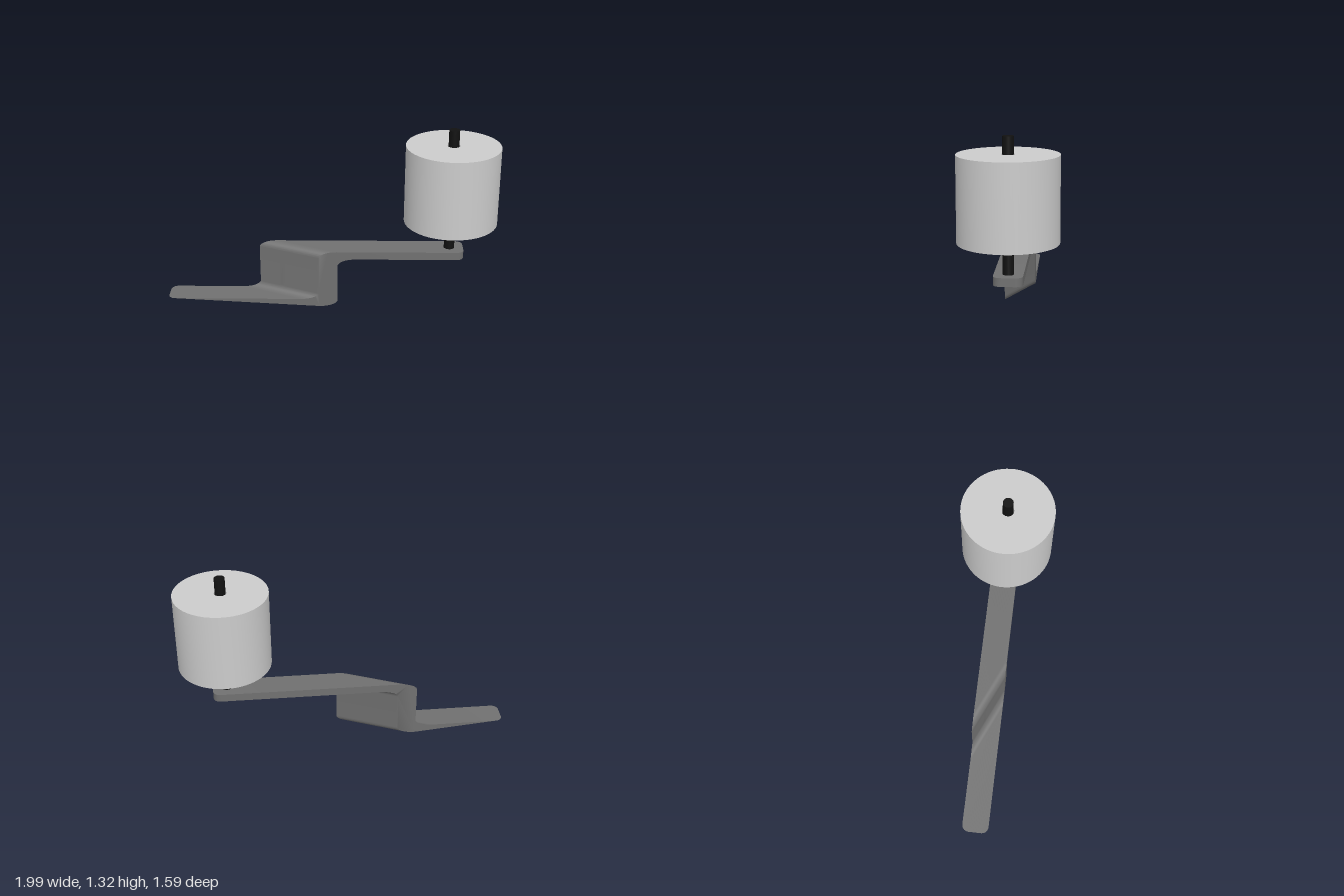
import * as THREE from 'three';
import { toCreasedNormals } from 'three/addons/utils/BufferGeometryUtils.js';

const HALF = 0.096;      // half width of the arm
const END_R = 0.05;      // rounded corners of the arm's ends in plan
const START = -1.207, END = 0.912;
const SKEW = 2.25;       // the step crosses the arm at a slant
const AXIS = [0.667, -0.465];

// Side profile of the cranked bar (along the arm, height); bends stretch with the skew
function armProfile() {
  const back = -0.198, front = -0.334, top = 0.435, t = 0.057;
  const rx = 0.13, ry = 0.053;
  const s = new THREE.Shape();
  const bend = (cx, cy, a0, a1, cw) => s.absellipse(cx, cy, rx, ry, a0, a1, cw, 0);
  const P = Math.PI;
  s.moveTo(START, 0);
  bend(back - rx, ry, -P / 2, 0, false);
  bend(back + rx, top - t - ry, P, P / 2, true);
  s.lineTo(END, top - t);
  s.lineTo(END, top);
  bend(front + rx, top - ry, P / 2, P, false);
  bend(front - rx, t + ry, 0, -P / 2, true);
  s.lineTo(START, t);
  s.closePath();
  return s;
}

function armGeometry() {
  const g = new THREE.ExtrudeGeometry(armProfile(), {
    depth: 1, steps: 24, bevelEnabled: false, curveSegments: 10,
  });
  const p = g.attributes.position;
  for (let i = 0; i < p.count; i++) {
    const t = HALF * Math.sin((p.getZ(i) - 0.5) * Math.PI);
    let x = p.getX(i);
    // ends stay square with rounded corners, everything between is skewed
    const d = Math.max(0, Math.abs(t) - (HALF - END_R));
    const inset = END_R - Math.sqrt(Math.max(0, END_R * END_R - d * d));
    if (Math.abs(x - START) < 1e-4) x += inset;
    else if (Math.abs(x - END) < 1e-4) x -= inset;
    else x += SKEW * t;
    p.setXYZ(i, x, p.getY(i), t);
  }
  return toCreasedNormals(g, 0.6);
}

export function createModel() {
  const model = new THREE.Group();
  model.name = 'crankHandle';
  const add = (name, geometry, color, parent = model) => {
    const mesh = new THREE.Mesh(geometry, new THREE.MeshStandardMaterial({ color }));
    mesh.name = name;
    parent.add(mesh);
    return mesh;
  };

  // Cranked arm, turned diagonally in plan
  const armGroup = new THREE.Group();
  armGroup.name = 'armGroup';
  armGroup.rotation.y = 0.639;
  model.add(armGroup);
  add('arm', armGeometry(), 0x707070, armGroup).position.z = 0.023;

  // Spindle standing on the arm's upper end
  const spindle = add('spindle', new THREE.CylinderGeometry(0.037, 0.037, 0.92, 32), 0x111111);
  spindle.position.set(AXIS[0], 0.86, AXIS[1]);

  // Drum-shaped grip with a bore for the spindle
  const lo = 0.643, hi = 1.205, R = 0.328, bore = 0.043;
  const outline = [[bore, lo], [R, lo], [R, hi], [bore, hi], [bore, lo]]
    .map(([x, y]) => new THREE.Vector2(x, y));
  const grip = add('grip', toCreasedNormals(new THREE.LatheGeometry(outline, 64), 0.6), 0xcccccc);
  grip.position.set(AXIS[0], 0, AXIS[1]);

  return model;
}
